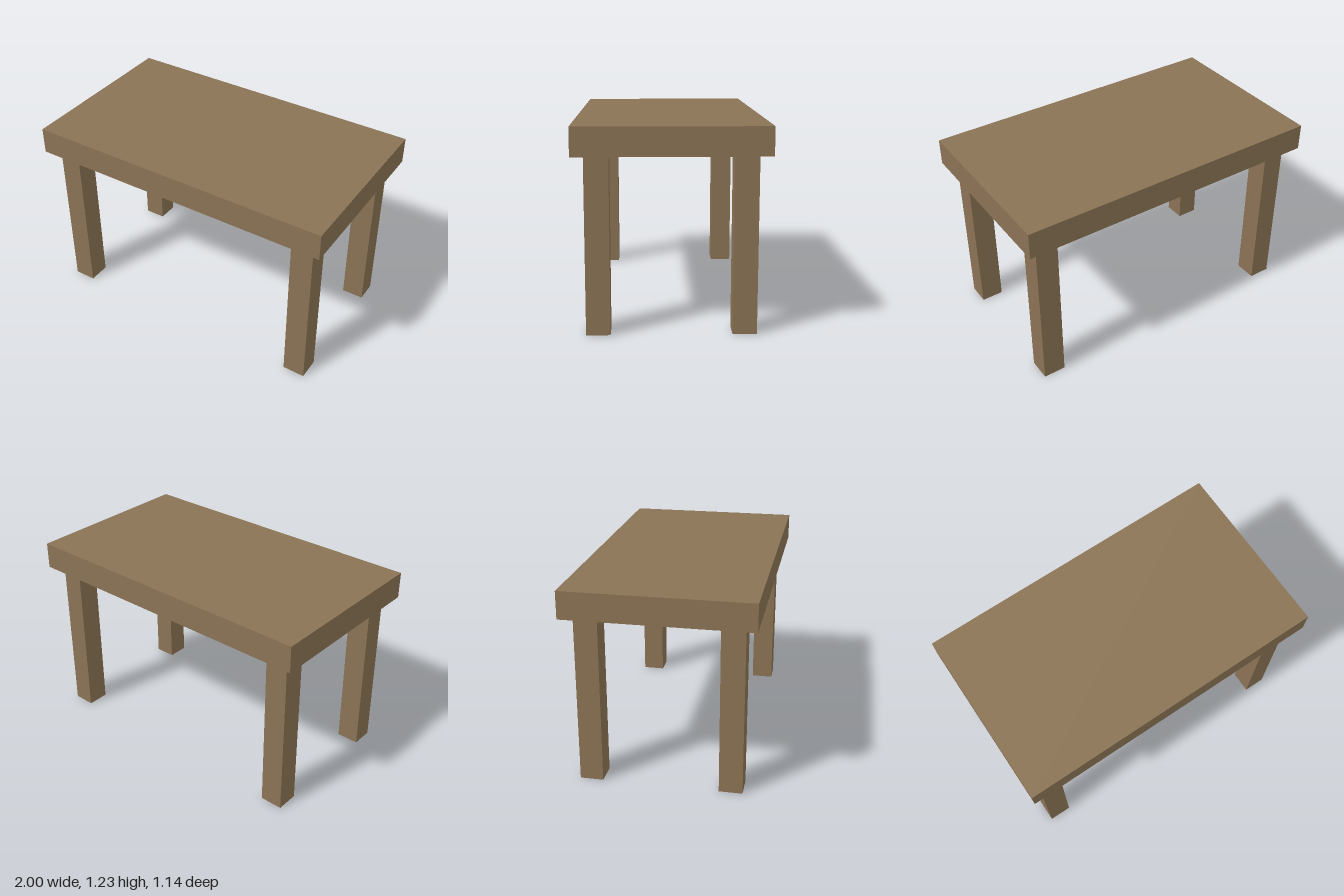
import * as THREE from 'three';

export function createModel() {
  const model = new THREE.Group();
  model.name = 'table';

  const wood = new THREE.MeshStandardMaterial({ color: 0x8b7355 });
  wood.name = 'brown wood';

  const legHeight = 1.06, legWidth = 0.143, topThickness = 0.17;

  // Thick slab top
  const top = new THREE.Mesh(new THREE.BoxGeometry(2, topThickness, 1.143), wood);
  top.name = 'tableTop';
  top.position.y = legHeight + topThickness / 2;
  model.add(top);

  // Four square legs, set in from the corners
  const legGeometry = new THREE.BoxGeometry(legWidth, legHeight, legWidth);
  for (const [zName, z] of [['front', 1], ['back', -1]]) {
    for (const [xName, x] of [['Left', 1], ['Right', -1]]) {
      const leg = new THREE.Mesh(legGeometry, wood);
      leg.name = `${zName}${xName}Leg`;
      leg.position.set(x * 0.857, legHeight / 2, z * 0.429);
      model.add(leg);
    }
  }

  return model;
}
